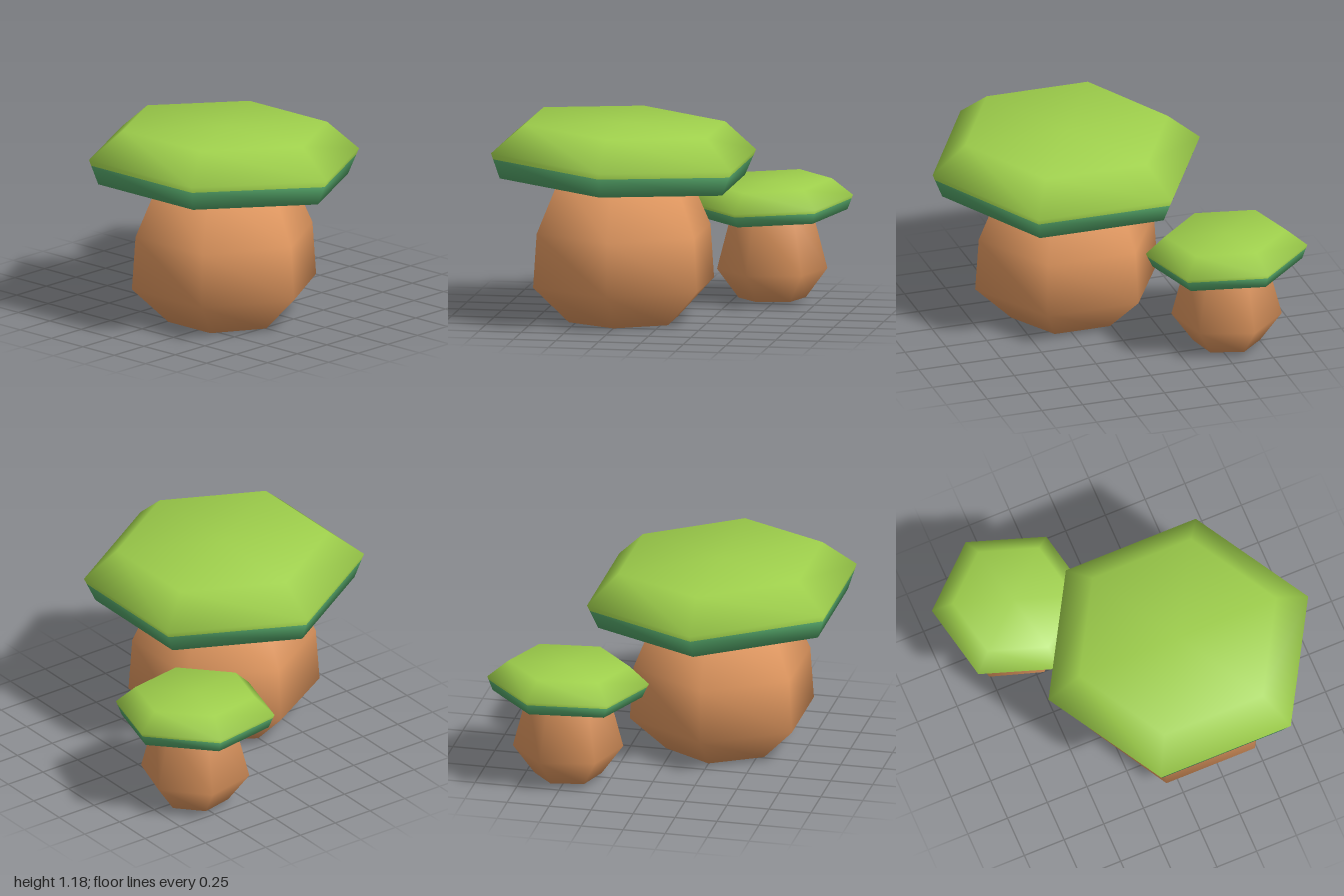
import * as THREE from 'three';

const SIDES = 6;

const brown = new THREE.MeshStandardMaterial({ color: 0xe0975f });
brown.name = 'stem brown';
const green = new THREE.MeshStandardMaterial({ color: 0x9fd04c });
green.name = 'cap green';
const teal = new THREE.MeshStandardMaterial({ color: 0x55a76a });
teal.name = 'underside teal';

// Six-sided smooth solid turned from [radius, height] pairs, bottom to top
function turned(profile) {
  const points = profile.map(([r, y]) => new THREE.Vector2(r, y));
  const geometry = new THREE.LatheGeometry(points, SIDES);

  // Every band counts equally in the normals, so wide flat ends still look rounded
  const bands = points.slice(1).map((p, j) => {
    const d = p.clone().sub(points[j]).normalize();
    return new THREE.Vector2(d.y, -d.x);
  });
  const normals = geometry.attributes.normal;
  points.forEach((_, j) => {
    const before = bands[Math.max(j - 1, 0)];
    const after = bands[Math.min(j, bands.length - 1)];
    const n = before.clone().add(after).normalize();
    for (let i = 0; i <= SIDES; i++) {
      const a = (i / SIDES) * Math.PI * 2;
      normals.setXYZ(i * points.length + j, n.x * Math.sin(a), n.y, n.x * Math.cos(a));
    }
  });
  return geometry;
}

// Rounded stem
function makeStem(name, profile) {
  const mesh = new THREE.Mesh(turned(profile), brown);
  mesh.name = name;
  return mesh;
}

// Cap with a teal underside and a green top; heights are relative to the rim
function makeCap(name, { bottom, edge, rim, top }) {
  const t = edge / bottom[1];
  const edgeRadius = rim + (bottom[0] - rim) * t;
  const profile = [[0, bottom[1]], bottom, [edgeRadius, edge], [rim, 0], top, [0, top[1]]];
  const geometry = turned(profile);
  const n = profile.length;

  // Keep the shading continuous across the colour change
  const normals = geometry.attributes.normal;
  const low = new THREE.Vector3(), high = new THREE.Vector3();
  for (let i = 0; i <= SIDES; i++) {
    low.fromBufferAttribute(normals, i * n + 1);
    high.fromBufferAttribute(normals, i * n + 3);
    high.lerp(low, t).normalize();
    normals.setXYZ(i * n + 2, high.x, high.y, high.z);
  }

  // The two lowest bands are teal, the rest green
  for (let i = 0; i < SIDES; i++) {
    const start = i * (n - 1) * 6;
    geometry.addGroup(start, 12, 0);
    geometry.addGroup(start + 12, (n - 3) * 6, 1);
  }
  const mesh = new THREE.Mesh(geometry, [teal, green]);
  mesh.name = name;
  return mesh;
}

export function createModel() {
  const model = new THREE.Group();
  model.name = 'mushrooms';

  // Large mushroom, cap leaning to +x
  const large = new THREE.Group();
  large.name = 'largeMushroom';
  large.position.set(-0.25, 0, 0.18);
  const largeCap = makeCap('largeCap', {
    bottom: [0.756, -0.148], edge: -0.035, rim: 0.817, top: [0.618, 0.168],
  });
  largeCap.position.y = 0.985;
  largeCap.rotation.z = -0.048;
  large.add(
    makeStem('largeStem', [[0, 0], [0.337, 0], [0.557, 0.215], [0.535, 0.53], [0.385, 0.87], [0, 0.87]]),
    largeCap,
  );

  // Small mushroom behind it, turned and leaning forward
  const turn = THREE.MathUtils.degToRad(42.3);
  const small = new THREE.Group();
  small.name = 'smallMushroom';
  small.position.set(0.493, 0, -0.55);
  const smallCap = makeCap('smallCap', {
    bottom: [0.434, -0.083], edge: -0.02, rim: 0.469, top: [0.352, 0.103],
  });
  smallCap.position.y = 0.61;
  smallCap.rotation.set(0.046, turn, 0.034, 'XZY');
  const smallStem = makeStem('smallStem', [[0, 0.03], [0.195, 0.03], [0.32, 0.2], [0.235, 0.53], [0.215, 0.6], [0, 0.6]]);
  smallStem.rotation.y = turn;
  small.add(smallStem, smallCap);

  model.add(large, small);
  return model;
}
